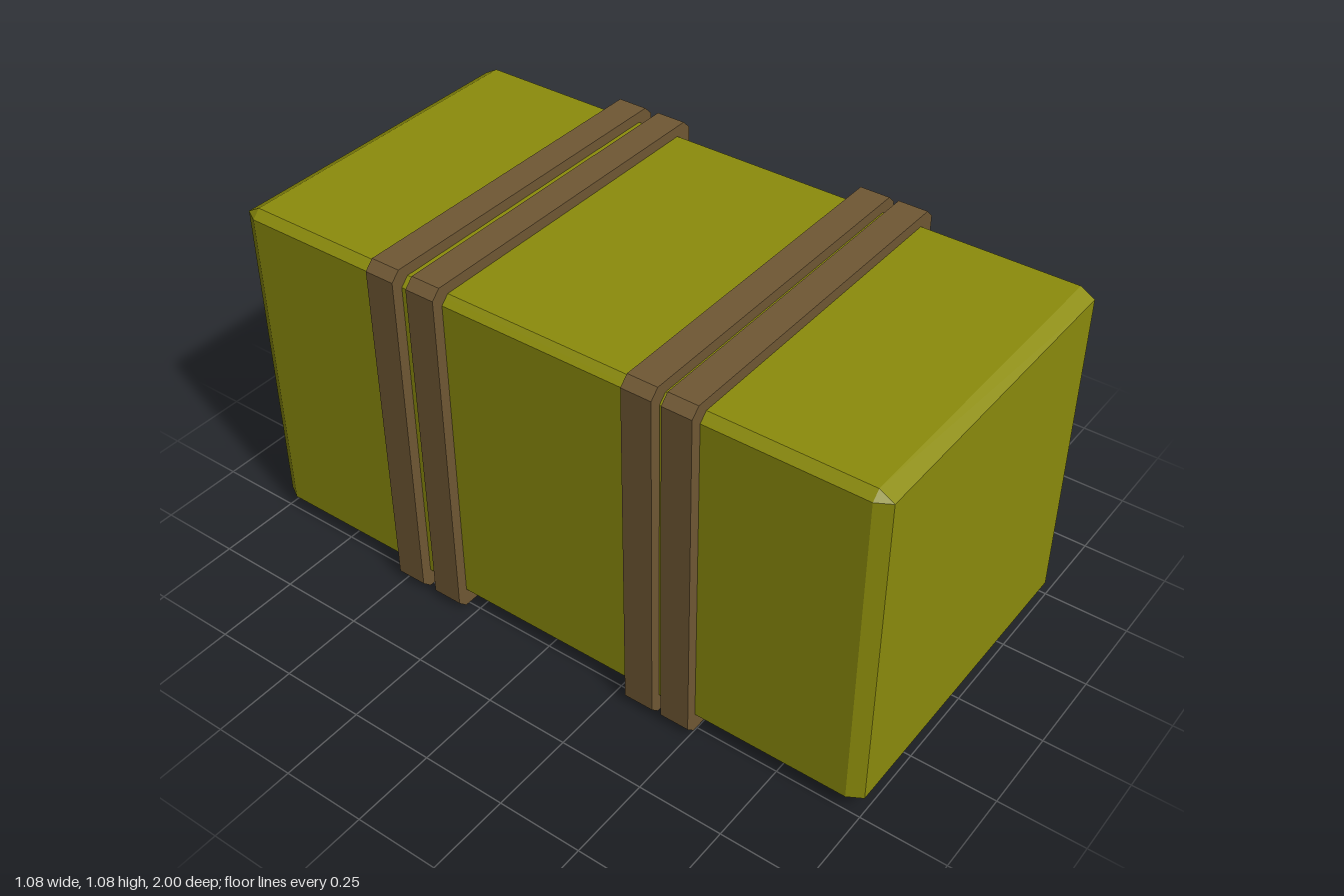
import * as THREE from 'three';
import { ConvexGeometry } from 'three/addons/geometries/ConvexGeometry.js';

const MID_Y = 0.54;

// Box with every edge bevelled; h = half sizes, c = bevel along each axis
function bevelledBox(h, c) {
  const points = [];
  for (const sx of [-1, 1]) for (const sy of [-1, 1]) for (const sz of [-1, 1]) {
    const s = [sx, sy, sz];
    for (let face = 0; face < 3; face++) {
      points.push(new THREE.Vector3(...h.map((v, i) => s[i] * (i === face ? v : v - c[i]))));
    }
  }
  return new ConvexGeometry(points);
}

// Square outline with cut corners
function cutSquare(r, c) {
  const k = r - c;
  return [[k, -r], [r, -k], [r, k], [k, r], [-k, r], [-r, k], [-r, -k], [-k, -r]]
    .map(([x, y]) => new THREE.Vector2(x, y));
}

export function createModel() {
  const group = new THREE.Group();
  const olive = new THREE.MeshStandardMaterial({ color: 0x8c8c0c, flatShading: true });
  const brown = new THREE.MeshStandardMaterial({ color: 0x705834, flatShading: true });

  // Bale body
  const body = new THREE.Mesh(bevelledBox([0.508, 0.508, 1], [0.024, 0.024, 0.042]), olive);
  body.name = 'baleBody';
  body.position.y = MID_Y;
  group.add(body);

  // Two pairs of straps wrapped around the body: [zMin, zMax]
  const spans = [[0.41, 0.498], [0.293, 0.382], [-0.38, -0.29], [-0.515, -0.425]];
  spans.forEach(([z0, z1], i) => {
    const ring = new THREE.Shape(cutSquare(0.54, 0.026));
    ring.holes.push(new THREE.Path(cutSquare(0.506, 0.024).reverse()));
    const geometry = new THREE.ExtrudeGeometry(ring, { depth: z1 - z0, bevelEnabled: false });
    const strap = new THREE.Mesh(geometry, brown);
    strap.name = `strap${i + 1}`;
    strap.position.set(0, MID_Y, z0);
    group.add(strap);
  });

  return group;
}
